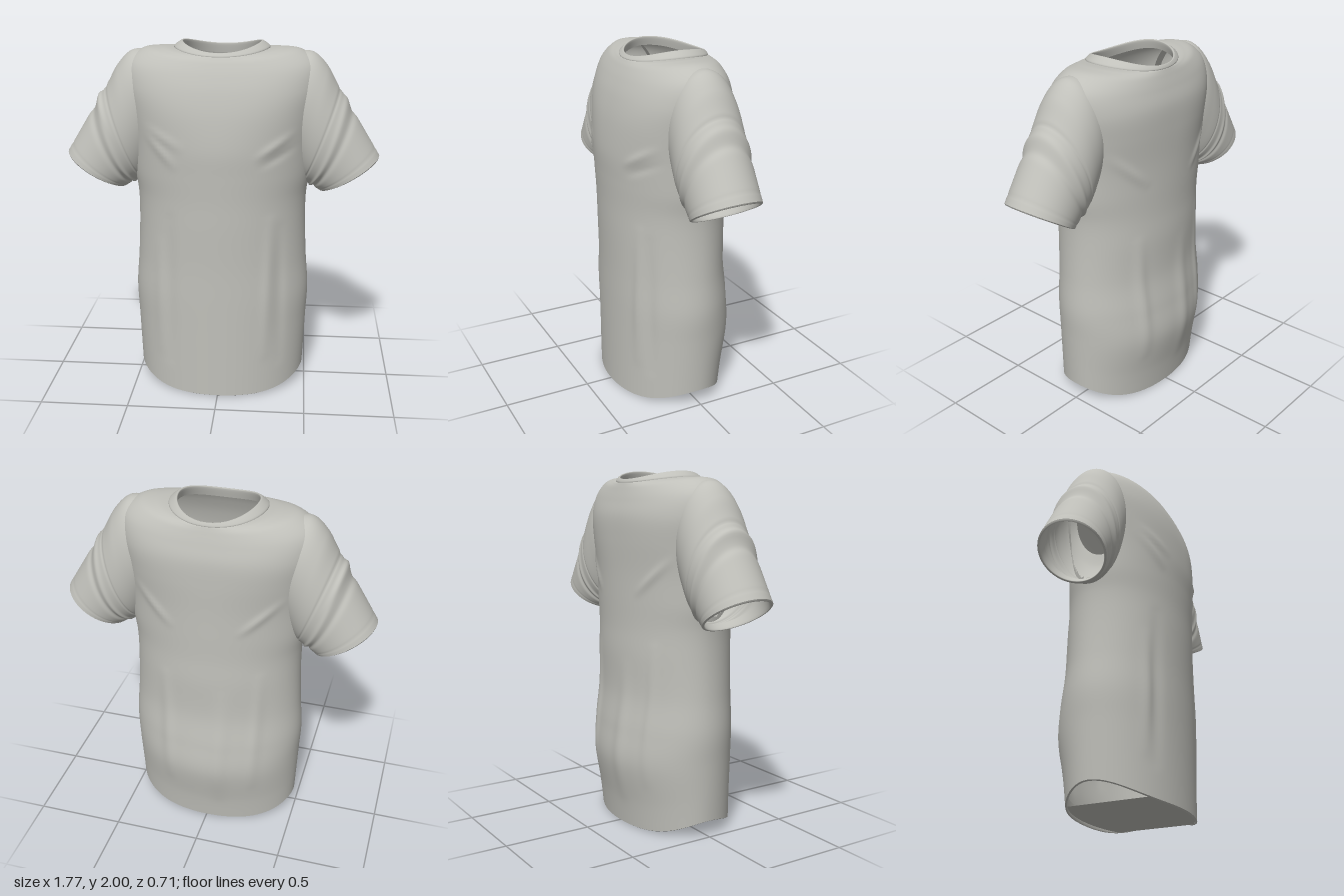
import * as THREE from 'three';

const cloth = new THREE.MeshStandardMaterial({ color: 0xc0c0ba, side: THREE.DoubleSide });
cloth.name = 'grey cloth';

const bell = (d, width) => Math.exp(-((d / width) ** 2));

// Smoothly interpolate a list of key rows at t in 0..1
function sampleRow(keys, t) {
  const f = t * (keys.length - 1);
  const i = Math.min(Math.floor(f), keys.length - 2);
  const w = f - i;
  const key = (k) => keys[Math.max(0, Math.min(keys.length - 1, k))];
  return keys[i].map((b, n) => {
    const a = key(i - 1)[n], c = key(i + 1)[n], d = key(i + 2)[n];
    return b + 0.5 * w * (c - a + w * (2 * a - 5 * b + 4 * c - d + w * (3 * (b - c) + d - a)));
  });
}

// Loft closed rings: point(t, angle) gives a Vector3, skip(centre) leaves holes
function loft(name, rows, sides, point, skip = () => false) {
  const pts = [];
  const index = [];
  for (let r = 0; r <= rows; r++)
    for (let k = 0; k < sides; k++) pts.push(point(r / rows, (k / sides) * Math.PI * 2));
  for (let r = 0; r < rows; r++)
    for (let k = 0; k < sides; k++) {
      const a = r * sides + k, b = r * sides + ((k + 1) % sides);
      const c = a + sides, d = b + sides;
      if (skip(pts[a].clone().add(pts[d]).multiplyScalar(0.5))) continue;
      index.push(a, c, b, b, c, d);
    }
  const geometry = new THREE.BufferGeometry().setFromPoints(pts);
  geometry.setIndex(index);
  geometry.computeVertexNormals();
  const mesh = new THREE.Mesh(geometry, cloth);
  mesh.name = name;
  return mesh;
}

// Body rows: half width, height at side, height at middle, front depth, back depth
const bodyKeys = [
  [0.485, 0.085, 0.0, 0.345, 0.285],
  [0.49, 0.2, 0.15, 0.345, 0.305],
  [0.498, 0.4, 0.38, 0.345, 0.345],
  [0.505, 0.58, 0.57, 0.345, 0.33],
  [0.49, 0.78, 0.77, 0.345, 0.305],
  [0.48, 1.0, 1.0, 0.35, 0.305],
  [0.482, 1.15, 1.15, 0.352, 0.3],
  [0.5, 1.28, 1.3, 0.357, 0.3],
  [0.51, 1.45, 1.45, 0.36, 0.3],
  [0.53, 1.62, 1.62, 0.342, 0.302],
  [0.55, 1.77, 1.75, 0.312, 0.297],
  [0.53, 1.885, 1.84, 0.278, 0.275],
  [0.44, 1.955, 1.9, 0.247, 0.256],
  [0.34, 1.968, 1.925, 0.23, 0.247],
  [0.265, 1.965, 1.935, 0.222, 0.243],
];
const collarKeys = [
  [0.265, 1.965, 1.935, 0.222, 0.243],
  [0.262, 1.974, 1.94, 0.222, 0.244],
  [0.24, 1.991, 1.949, 0.214, 0.24],
  [0.225, 2.0, 1.955, 0.208, 0.236],
];
const collarLining = [
  [0.225, 2.0, 1.955, 0.208, 0.236],
  [0.215, 1.995, 1.95, 0.199, 0.228],
  [0.225, 1.95, 1.9, 0.21, 0.236],
];
const hemLining = [
  [0.485, 0.085, 0.0, 0.345, 0.285],
  [0.473, 0.086, 0.002, 0.333, 0.273],
  [0.478, 0.16, 0.08, 0.334, 0.28],
];

// Creases: side (+1 front, -1 back), x1, y1, x2, y2, width, height
const folds = [
  [1, 0.27, 0.25, 0.29, 1.05, 0.03, 0.012],
  [1, 0.35, 0.2, 0.34, 1.0, 0.03, -0.012],
  [1, -0.28, 0.2, -0.27, 1.05, 0.035, -0.01],
  [1, -0.34, 0.25, -0.33, 0.9, 0.03, 0.01],
  [1, 0.22, 1.42, 0.4, 1.53, 0.022, 0.012],
  [1, 0.24, 1.37, 0.42, 1.46, 0.02, -0.008],
  [1, -0.24, 1.36, -0.4, 1.52, 0.02, 0.012],
  [1, -0.2, 1.46, -0.4, 1.56, 0.02, 0.009],
  [-1, 0.22, 0.3, 0.24, 1.0, 0.035, 0.014],
  [-1, -0.08, 0.2, -0.1, 0.9, 0.05, 0.012],
  [-1, -0.28, 0.3, -0.3, 1.05, 0.03, 0.012],
  [-1, 0.2, 1.35, 0.4, 1.53, 0.022, 0.012],
  [-1, -0.2, 1.35, -0.4, 1.53, 0.022, 0.012],
];
function crease(x, y, side) {
  let sum = 0;
  for (const [s, x1, y1, x2, y2, width, height] of folds) {
    if (s !== side) continue;
    const dx = x2 - x1, dy = y2 - y1;
    const t = THREE.MathUtils.clamp(((x - x1) * dx + (y - y1) * dy) / (dx * dx + dy * dy), 0, 1);
    const fade = 0.25 + 0.75 * Math.sin(Math.PI * t);
    sum += height * fade * bell(Math.hypot(x - x1 - dx * t, y - y1 - dy * t), width);
  }
  return sum;
}

function bodyPoint(keys) {
  return (t, angle) => {
    const [width, ySide, yMid, front, back] = sampleRow(keys, t);
    const c = Math.cos(angle), s = Math.sin(angle);
    const full = 1 - 0.18 * bell(yMid - 1.7, 0.2);
    const x = width * Math.sign(c) * Math.abs(c) ** full;
    const y = yMid + (ySide - yMid) * Math.abs(c) ** (yMid < 1 ? 4 : 2);
    const side = s >= 0 ? 1 : -1;
    const z = s * (s >= 0 ? front : back) + s * crease(x, y, side);
    return new THREE.Vector3(x, y, z);
  };
}

// Sleeve rows: outer x, y, inner x, y, half depth
const sleeveKeys = [
  [0.4, 1.945, 0.36, 1.45, 0.16],
  [0.5, 1.943, 0.38, 1.36, 0.188],
  [0.58, 1.87, 0.42, 1.28, 0.198],
  [0.648, 1.752, 0.46, 1.225, 0.2],
  [0.765, 1.565, 0.505, 1.195, 0.193],
  [0.885, 1.37, 0.555, 1.165, 0.19],
];
const cuffLining = [
  [0.885, 1.37, 0.555, 1.165, 0.19],
  [0.873, 1.363, 0.567, 1.172, 0.177],
  [0.82, 1.455, 0.54, 1.2, 0.178],
];
function sleevePoint(keys, mirror, wrinkled) {
  return (t, angle) => {
    const [ox, oy, ix, iy, depth] = sampleRow(keys, t);
    const c = Math.cos(angle), s = Math.sin(angle);
    let swell = 1;
    if (wrinkled) {
      const slant = t + 0.05 * c;
      swell -= 0.02 * bell(t - 0.61, 0.012); // seam
      swell -= 0.008 * bell(t - 0.94, 0.008); // cuff stitching
      swell += 0.035 * bell(slant - 0.73, 0.025) - 0.035 * bell(slant - 0.79, 0.025);
      if (mirror < 0) swell += 0.03 * bell(t - 0.68, 0.02) * Math.max(0, c);
    }
    return new THREE.Vector3(
      mirror * ((ox + ix) / 2 + (c * swell * (ox - ix)) / 2),
      (oy + iy) / 2 + (c * swell * (oy - iy)) / 2,
      s * swell * depth
    );
  };
}

export function createModel() {
  const shirt = new THREE.Group();
  shirt.name = 'shirt';

  // Body with open armholes
  const inArmhole = (p) =>
    Math.abs(p.x) > 0.36 && ((p.y - 1.53) / 0.3) ** 2 + (p.z / 0.16) ** 2 < 1;
  shirt.add(loft('body', 120, 160, bodyPoint(bodyKeys), inArmhole));
  shirt.add(loft('hemLining', 8, 160, bodyPoint(hemLining)));
  shirt.add(loft('collar', 9, 96, bodyPoint(collarKeys)));
  shirt.add(loft('collarLining', 8, 96, bodyPoint(collarLining)));

  // Sleeves
  for (const [mirror, side] of [[1, 'left'], [-1, 'right']]) {
    shirt.add(loft(side + 'Sleeve', 100, 72, sleevePoint(sleeveKeys, mirror, true)));
    shirt.add(loft(side + 'CuffLining', 8, 72, sleevePoint(cuffLining, mirror, false)));
  }

  // Flat panel closing the middle of the hem
  const outline = [];
  for (const [sign, depth] of [[1, 0.338], [-1, 0.278]])
    for (let i = 0; i <= 16; i++) {
      const x = sign * (0.31 - (0.62 * i) / 16);
      outline.push(new THREE.Vector2(x, -sign * depth * Math.sqrt(1 - (x / 0.48) ** 2)));
    }
  const panel = new THREE.Mesh(new THREE.ShapeGeometry(new THREE.Shape(outline)), cloth);
  panel.name = 'bottomPanel';
  panel.rotation.x = -Math.PI / 2;
  panel.position.y = 0.014;
  shirt.add(panel);

  return shirt;
}
